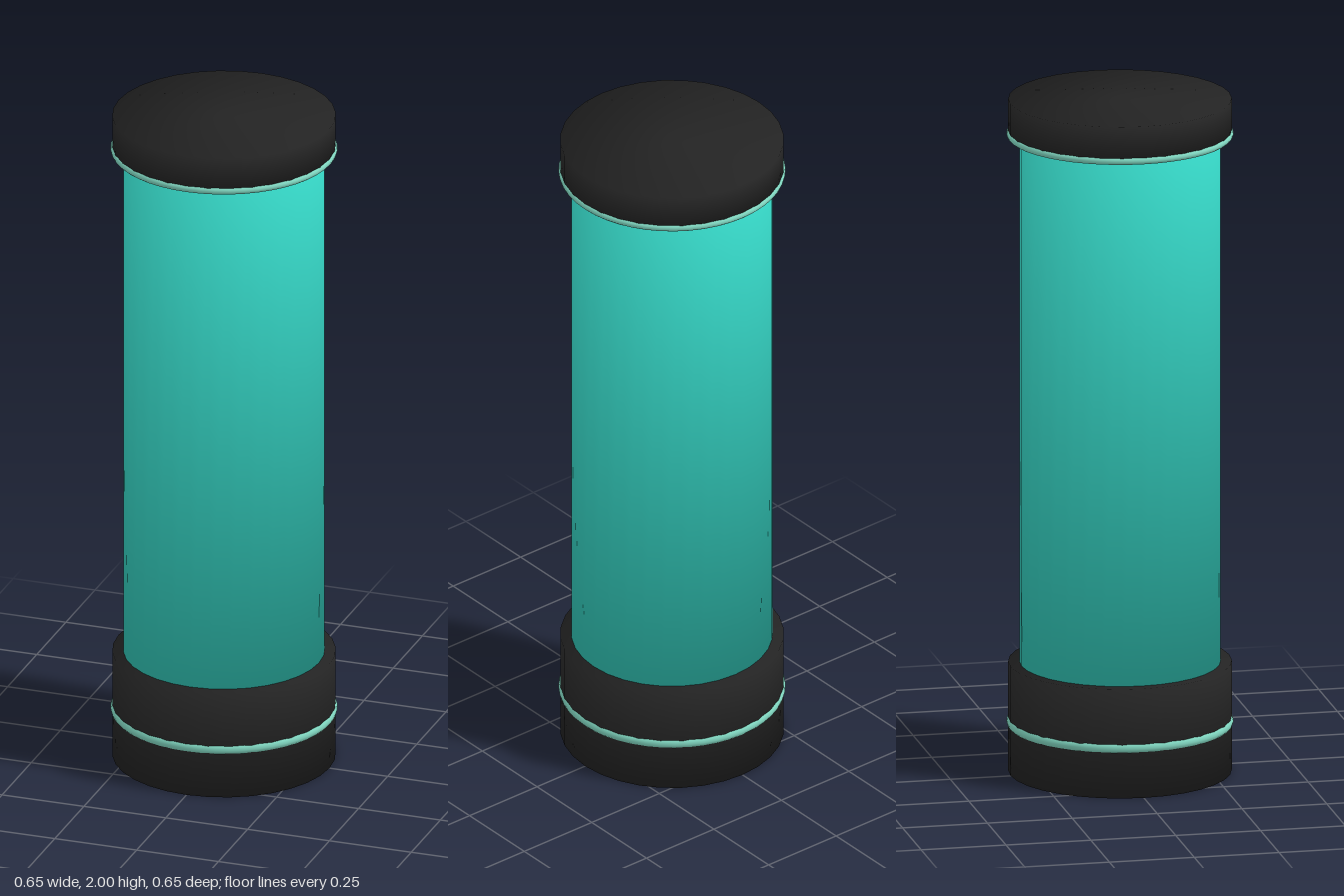
import * as THREE from 'three';

const SIDES = 32;

// Closed cylinder whose rims are shaded softly: rim normals lean 45 degrees outward.
function softCylinder(radius, bottom, top) {
  const geo = new THREE.CylinderGeometry(radius, radius, top - bottom, SIDES);
  const pos = geo.attributes.position;
  const n = new THREE.Vector3();
  for (let i = 0; i < pos.count; i++) {
    n.set(pos.getX(i) / radius, Math.sign(pos.getY(i)), pos.getZ(i) / radius).normalize();
    geo.attributes.normal.setXYZ(i, n.x, n.y, n.z);
  }
  return geo.translate(0, (bottom + top) / 2, 0);
}

// Horizontal trim ring with the given outer radius.
function ring(outer, tube, y) {
  return new THREE.TorusGeometry(outer - tube, tube, 12, 48).rotateX(Math.PI / 2).translate(0, y, 0);
}

export function createModel() {
  const teal = new THREE.MeshStandardMaterial({ name: 'tealTube', color: 0x33cfbf });
  const mint = new THREE.MeshStandardMaterial({ name: 'mintTrim', color: 0x80d6c0 });
  const black = new THREE.MeshStandardMaterial({ name: 'blackCap', color: 0x232323 });

  const model = new THREE.Group();
  model.name = 'canister';
  const add = (name, geometry, material) => {
    const mesh = new THREE.Mesh(geometry, material);
    mesh.name = name;
    model.add(mesh);
  };

  // Body tube, its ends tucked into the caps
  add('bodyTube', softCylinder(0.29, 0.3, 1.91), teal);

  // End caps
  add('baseCap', softCylinder(0.322, 0, 0.325), black);
  add('topCap', softCylinder(0.322, 1.893, 2), black);

  // Trim rings
  add('baseRing', ring(0.327, 0.017, 0.148), mint);
  add('topRing', ring(0.327, 0.011, 1.897), mint);

  return model;
}
